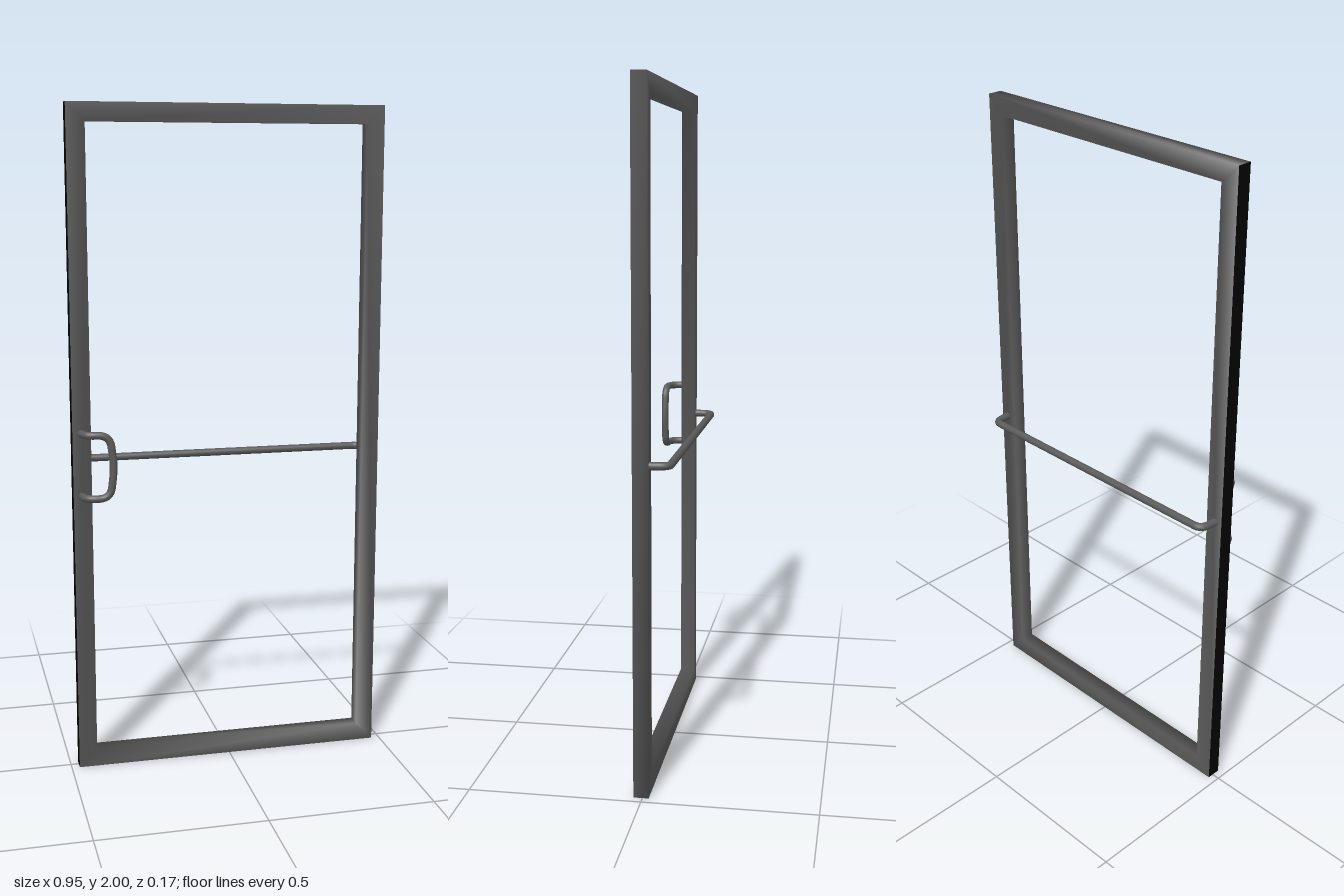
import * as THREE from 'three';
import { mergeVertices } from 'three/addons/utils/BufferGeometryUtils.js';

const W = 0.475, H = 2, BACK = -0.018, FRONT = 0.026;

// Rectangular ring with softened (shared) normals
function frameGeometry() {
  const rect = (x, y0, y1) => [[-x, y0], [x, y0], [x, y1], [-x, y1]].map(p => new THREE.Vector2(...p));
  const shape = new THREE.Shape(rect(W, 0, H));
  shape.holes.push(new THREE.Path(rect(0.421, 0.056, 1.946)));
  const extruded = new THREE.ExtrudeGeometry(shape, { depth: FRONT - BACK, bevelEnabled: false });
  extruded.translate(0, 0, BACK);
  extruded.deleteAttribute('normal');
  extruded.deleteAttribute('uv');
  extruded.clearGroups();
  const merged = mergeVertices(extruded);
  merged.computeVertexNormals();
  return merged;
}

// Round rod along straight runs with rounded bends at the inner points
function rodGeometry(points, radius, bend) {
  const p = points.map(a => new THREE.Vector3(...a));
  const path = new THREE.CurvePath();
  let last = p[0];
  for (let i = 1; i < p.length - 1; i++) {
    const before = p[i].clone().add(p[i - 1].clone().sub(p[i]).setLength(bend));
    const after = p[i].clone().add(p[i + 1].clone().sub(p[i]).setLength(bend));
    path.add(new THREE.LineCurve3(last, before));
    path.add(new THREE.QuadraticBezierCurve3(before, p[i], after));
    last = after;
  }
  path.add(new THREE.LineCurve3(last, p[p.length - 1]));
  return new THREE.TubeGeometry(path, 160, radius, 12, false);
}

export function createModel() {
  const group = new THREE.Group();
  const material = (name, color) => {
    const m = new THREE.MeshStandardMaterial({ color });
    m.name = name;
    return m;
  };
  const metal = material('grey metal', 0x5a5a5a);
  const black = material('black edge', 0x030303);
  const add = (name, geometry, mat = metal) => {
    const mesh = new THREE.Mesh(geometry, mat);
    mesh.name = name;
    group.add(mesh);
  };

  add('doorFrame', frameGeometry());

  // Black face along the handle-side edge
  const edge = new THREE.PlaneGeometry(FRONT - BACK, H);
  edge.rotateY(-Math.PI / 2);
  edge.translate(-W - 0.001, H / 2, (FRONT + BACK) / 2);
  add('edgeFace', edge, black);

  // Push bar across the back
  const barY = 0.954, barZ = -0.073;
  add('pushBar', rodGeometry([
    [-0.452, barY, -0.01], [-0.446, barY, barZ], [0.446, barY, barZ], [0.452, barY, -0.01],
  ], 0.0115, 0.025));

  // Pull handle on the front, bowed slightly outward
  const midY = 0.954, half = 0.095;
  add('pullHandle', rodGeometry([
    [-0.452, midY + half, 0.01], [-0.446, midY + half, 0.068], [-0.372, midY + half, 0.072],
    [-0.36, midY, 0.072],
    [-0.372, midY - half, 0.072], [-0.446, midY - half, 0.068], [-0.452, midY - half, 0.01],
  ], 0.0115, 0.035));

  return group;
}
